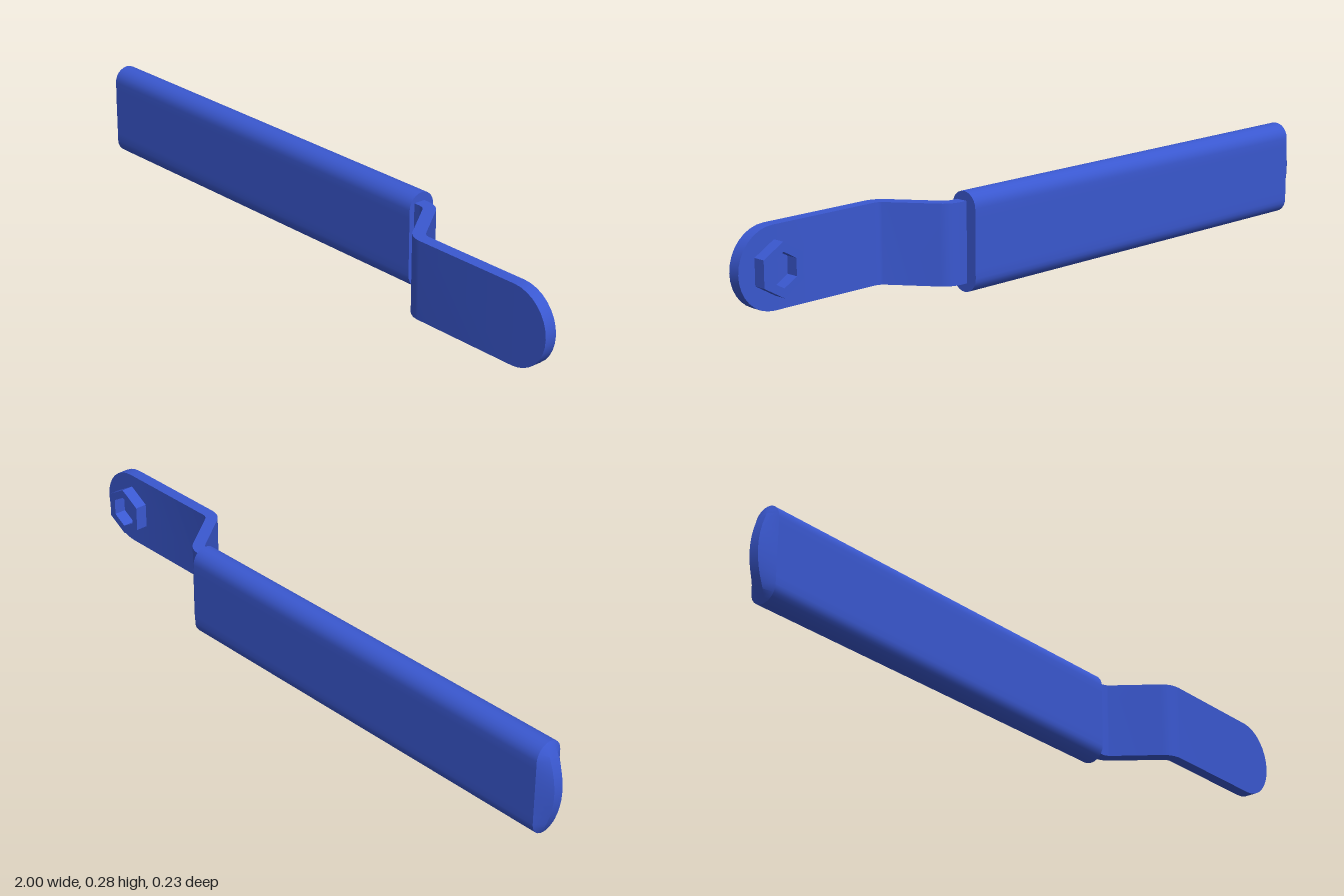
import * as THREE from 'three';
import { toCreasedNormals } from 'three/addons/utils/BufferGeometryUtils.js';

const MID = 0.139; // height of the long axis
const material = new THREE.MeshStandardMaterial({ color: 0x3a58d0 });

// Skin a list of equal-length rings of [x, y, z], with capped ends
function loft(rings, crease) {
  const n = rings[0].length, pos = [];
  const centre = (r) => [0, 1, 2].map((k) => r.reduce((s, p) => s + p[k], 0) / n);
  const tri = (...pts) => pts.forEach((p) => pos.push(...p));
  const first = rings[0], last = rings[rings.length - 1];
  const c0 = centre(first), c1 = centre(last);
  for (let i = 0; i < n; i++) {
    const j = (i + 1) % n;
    for (let k = 0; k < rings.length - 1; k++) {
      const a = rings[k], b = rings[k + 1];
      tri(a[i], a[j], b[j]);
      tri(a[i], b[j], b[i]);
    }
    tri(c0, first[j], first[i]);
    tri(c1, last[i], last[j]);
  }
  const g = new THREE.BufferGeometry();
  g.setAttribute('position', new THREE.Float32BufferAttribute(pos, 3));
  return toCreasedNormals(g, crease);
}

// Flat-sided grip with round edges; the free end is bowed and bevelled
function gripGeometry() {
  const half = 0.138, r = 0.043, flat = half - r, zc = -0.072;
  const section = [];
  for (const s of [1, -1]) {
    for (let i = 0; i <= 12; i++) {
      const a = -Math.PI / 2 + (Math.PI * i) / 12;
      section.push([s * (flat + r * Math.cos(a)), s * r * Math.sin(a)]);
    }
    for (let i = 1; i < 8; i++) section.push([s * flat * (1 - i / 4), s * r]);
  }
  const ring = (x, bow, zScale) => section.map(([y, z]) =>
    [x - bow * (1 - (y / half) ** 2), MID + y, zc + z * zScale]);
  return loft([
    ring(-0.96, 0.04, 0), ring(-0.96, 0.04, 0.35), ring(-0.96, 0, 1), ring(0.36, 0, 1),
  ], 0.5);
}

// Flat bar with an S-bend and a rounded end
function strapGeometry() {
  const half = 0.1125, t = 0.018, zBack = -0.064, zFront = 0.0945, bendR = 0.05;
  const angle = 0.93, steps = 6;
  const stations = [[0.3, zBack, 0, half]]; // x, z, direction, half height
  for (let i = 0; i <= steps; i++) {
    const a = (angle * i) / steps;
    stations.push([0.379 + bendR * Math.sin(a), zBack + bendR * (1 - Math.cos(a)), a, half]);
  }
  for (let i = steps; i >= 0; i--) {
    const a = (angle * i) / steps;
    stations.push([0.547 - bendR * Math.sin(a), zFront - bendR * (1 - Math.cos(a)), a, half]);
  }
  for (let i = 0; i <= 8; i++) {
    const a = (Math.PI / 2) * (i / 8);
    stations.push([0.8875 + half * Math.sin(a), zFront, 0, half * Math.cos(a)]);
  }
  return loft(stations.map(([x, z, a, h]) =>
    [[1, -1], [1, 1], [-1, 1], [-1, -1]].map(([sy, sz]) =>
      [x - sz * t * Math.sin(a), MID + sy * h, z + sz * t * Math.cos(a)])), 0.5);
}

// Hexagonal bolt head with a hexagonal socket
function boltGeometry() {
  const hexagon = (r) => Array.from({ length: 6 }, (_, i) => {
    const a = Math.PI / 2 + (i * Math.PI) / 3;
    return new THREE.Vector2(r * Math.cos(a), r * Math.sin(a));
  });
  const shape = new THREE.Shape(hexagon(0.074));
  shape.holes.push(new THREE.Path(hexagon(0.048)));
  return new THREE.ExtrudeGeometry(shape, { depth: 0.037, bevelEnabled: false });
}

export function createModel() {
  const group = new THREE.Group();
  group.name = 'leverHandle';
  const add = (name, geometry) => {
    const mesh = new THREE.Mesh(geometry, material);
    mesh.name = name;
    group.add(mesh);
    return mesh;
  };
  add('grip', gripGeometry());
  add('bentStrap', strapGeometry());
  add('boltHead', boltGeometry()).position.set(0.883, MID, 0.04);
  return group;
}
